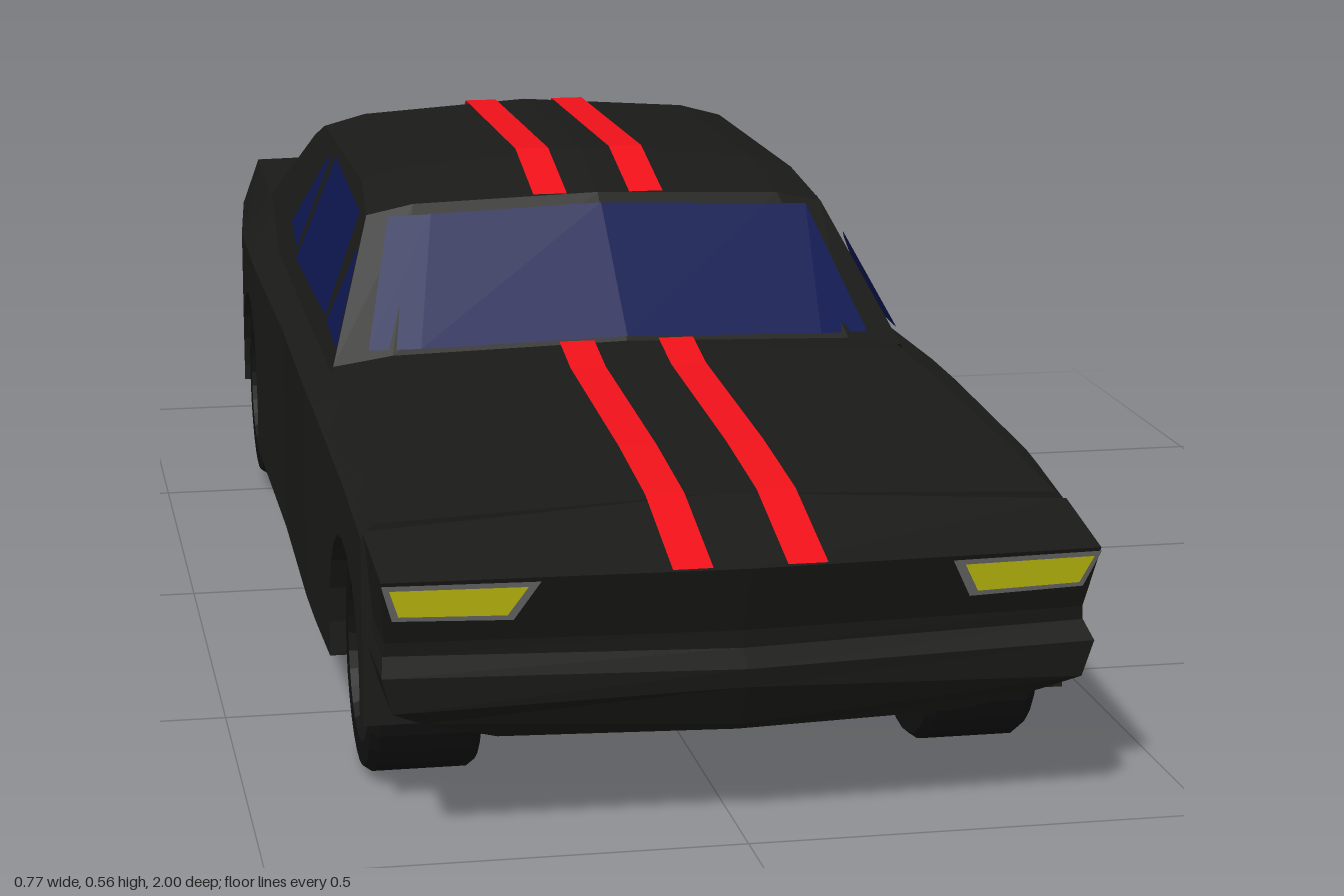
import * as THREE from 'three';

const paint = (color) => new THREE.MeshStandardMaterial({ color, flatShading: true, side: THREE.DoubleSide });
const black = paint(0x1a1a18), rubber = paint(0x121212), glass = paint(0x0d1750);
const red = paint(0xee1119), yellow = paint(0xdedc12), grey = paint(0x777777);
const lerp = THREE.MathUtils.lerp;

// Surface through rows of [x, y, z] points
function skin(rows, closed = false) {
  const out = [];
  for (let i = 0; i < rows.length - 1; i++) {
    const n = rows[i].length;
    for (let j = 0; j < (closed ? n : n - 1); j++) {
      const k = (j + 1) % n;
      const a = rows[i][j], b = rows[i][k], c = rows[i + 1][j], d = rows[i + 1][k];
      out.push(...a, ...c, ...b, ...b, ...c, ...d);
    }
  }
  const g = new THREE.BufferGeometry();
  g.setAttribute('position', new THREE.Float32BufferAttribute(out, 3));
  g.computeVertexNormals();
  return g;
}
const flip = (pts) => pts.map(([x, y, z]) => [-x, y, z]);
const quad = (p) => skin([[p[0], p[3]], [p[1], p[2]]]);

function add(group, name, geometry, material) {
  const m = new THREE.Mesh(geometry, material);
  m.name = name;
  group.add(m);
  return m;
}
// A four-cornered panel on the left side and its mirror image
function addPair(group, name, pts, material) {
  add(group, name + 'Left', quad(pts), material);
  add(group, name + 'Right', quad(flip(pts).reverse()), material);
}

// Body stations: z, half width, floor y, belt y, shoulder x, shoulder y, centre y
const stations = [
  [0.85, 0.382, 0.10, 0.305, 0.368, 0.32, 0.336],
  [0.70, 0.384, 0.09, 0.325, 0.36, 0.336, 0.352],
  [0.40, 0.385, 0.08, 0.338, 0.352, 0.35, 0.37],
  [0.30, 0.385, 0.08, 0.34, 0.35, 0.352, 0.378],
  [0, 0.38, 0.083, 0.34, 0.35, 0.355, 0.385],
  [-0.40, 0.38, 0.085, 0.34, 0.346, 0.362, 0.39],
  [-0.65, 0.376, 0.12, 0.34, 0.334, 0.395, 0.403],
  [-0.90, 0.352, 0.155, 0.34, 0.325, 0.393, 0.40],
  [-0.98, 0.338, 0.195, 0.34, 0.322, 0.39, 0.397],
  [-1, 0.333, 0.235, 0.34, 0.32, 0.388, 0.394],
];
const wheels = [{ name: 'front', z: 0.69, y: 0.125 }, { name: 'rear', z: -0.53, y: 0.143 }];

function stationAt(z) {
  let i = 0;
  while (i < stations.length - 2 && z < stations[i + 1][0]) i++;
  const [a, b] = [stations[i], stations[i + 1]];
  return a.map((v, k) => lerp(v, b[k], (z - a[0]) / (b[0] - a[0])));
}

// Half a body section; the arch height lifts the part outside the wheel well wall
function halfSection([z, w, floor, belt, sx, sy, top], arch = floor) {
  return [[0, floor, z], [0.24, floor, z], [0.24, arch, z], [w, arch, z], [w, belt, z], [sx, sy, z], [0, top, z]];
}

function buildBody(car) {
  const R = 0.135;
  const halves = [];
  for (const s of stations) {
    if (!wheels.some((w) => Math.abs(s[0] - w.z) < R)) halves.push(halfSection(s));
  }
  for (const w of wheels) {
    halves.push(halfSection(stationAt(w.z + R)));
    for (let k = 0; k <= 10; k++) {
      const a = (k / 10) * Math.PI;
      halves.push(halfSection(stationAt(w.z + R * Math.cos(a)), w.y + R * Math.sin(a)));
    }
    halves.push(halfSection(stationAt(w.z - R)));
  }
  halves.sort((a, b) => b[0][2] - a[0][2]);
  add(car, 'body', skin(halves.map((h) => [...h, ...flip(h).reverse().slice(1, -1)]), true), black);
  const first = halves[0], last = halves[halves.length - 1];
  add(car, 'frontBulkhead', skin([flip(first), first]), black);
  add(car, 'tailPanel', skin([last, flip(last)]), black);

  // Nose and bumper, from hood down: front z, half width, centre y, edge y
  const rows = [
    [0.85, 0.38, 0.336, 0.312], [1, 0.377, 0.296, 0.294], [0.965, 0.37, 0.22, 0.22], [0.962, 0.372, 0.2, 0.205],
    [0.99, 0.376, 0.186, 0.19], [0.985, 0.365, 0.165, 0.15], [0.955, 0.33, 0.115, 0.128],
    [0.94, 0.25, 0.105, 0.105], [0.85, 0.25, 0.1, 0.1],
  ].map(([z, w, yc, ye]) => {
    const edge = Math.max(0.85, z - 0.02);
    return [[-w, ye, 0.85], [-w, ye, edge], [0, yc, z], [w, ye, edge], [w, ye, 0.85]];
  });
  add(car, 'noseAndBumper', skin(rows), black);
}

// The cabin sides lean inward on one plane
const sideX = (y) => 0.35 - (y - 0.352) * 0.41;

function buildCabin(car) {
  // z, corner setback, centre y, mid y, edge y
  const rings = [
    [0.33, 0.04, 0.385, 0.372, 0.358], [0.135, 0.012, 0.53, 0.521, 0.508], [0, 0, 0.564, 0.546, 0.53],
    [-0.43, 0, 0.56, 0.545, 0.53], [-0.48, 0, 0.53, 0.522, 0.51], [-0.66, 0, 0.40, 0.398, 0.392],
  ].map(([z, dz, c, m, e]) => {
    const x = sideX(e);
    const h = [[sideX(0.345), 0.345, z - dz], [x, e, z - dz], [x * 0.8, m, z - dz * 0.64], [0, c, z]];
    return [...h, ...flip(h).reverse().slice(1)];
  });
  add(car, 'cabin', skin(rings), black);

  // Front and rear screens
  const row = (x, ye, yc, ze, zc) => [[-x, ye, ze], [-x * 0.8, lerp(yc, ye, 0.8), lerp(zc, ze, 0.64)], [0, yc, zc],
    [x * 0.8, lerp(yc, ye, 0.8), lerp(zc, ze, 0.64)], [x, ye, ze]];
  add(car, 'windshield', skin([row(0.262, 0.509, 0.521, 0.142, 0.157), row(0.305, 0.376, 0.391, 0.29, 0.332)]), glass);
  add(car, 'rearWindow', skin([row(0.29, 0.402, 0.408, -0.657, -0.657), row(0.25, 0.519, 0.531, -0.485, -0.485)]), glass);

  // Side windows, as [z, y] corners
  const windows = {
    ventWindow: [[0.285, 0.378], [0.155, 0.385], [0.165, 0.47], [0.175, 0.478]],
    doorWindow: [[0.135, 0.387], [-0.225, 0.387], [-0.225, 0.522], [0.09, 0.507]],
    quarterWindow: [[-0.25, 0.395], [-0.37, 0.41], [-0.285, 0.512], [-0.265, 0.516]],
  };
  for (const [name, pts] of Object.entries(windows)) {
    addPair(car, name, pts.map(([z, y]) => [sideX(y) + 0.004, y, z]), glass);
  }
}

function buildStripes(car) {
  // Paths of [z, y] along the middle of the car
  const paths = {
    hoodStripe: [[0.997, 0.298], [0.85, 0.338], [0.7, 0.353], [0.4, 0.371], [0.325, 0.386]],
    roofStripe: [[0.138, 0.53], [0, 0.564], [-0.43, 0.56], [-0.482, 0.531]],
    deckStripe: [[-0.66, 0.406], [-0.9, 0.402], [-0.97, 0.4]],
  };
  for (const [name, path] of Object.entries(paths)) {
    for (const s of [-1, 1]) {
      const rows = path.map(([z, y]) => [[s * 0.06 + 0.021, y, z], [s * 0.06 - 0.021, y, z]]);
      add(car, name + (s > 0 ? 'Left' : 'Right'), skin(rows), red);
    }
  }
}

function buildLights(car) {
  const onNose = (d) => ([x, y]) => [x, y, 1 - x * 0.053 + (y - 0.295) * 0.47 + d];
  addPair(car, 'headlightFrame', [[0.24, 0.245], [0.364, 0.248], [0.377, 0.291], [0.215, 0.291]].map(onNose(0.004)), grey);
  addPair(car, 'headlight', [[0.247, 0.252], [0.358, 0.254], [0.369, 0.286], [0.228, 0.286]].map(onNose(0.007)), yellow);
  const onTail = (d) => ([x, y]) => [x, y, -1 - d];
  addPair(car, 'taillightFrame', [[0.33, 0.238], [0.258, 0.238], [0.24, 0.388], [0.32, 0.388]].map(onTail(0.002)), grey);
  addPair(car, 'taillight', [[0.324, 0.244], [0.266, 0.244], [0.249, 0.382], [0.316, 0.382]].map(onTail(0.004)), yellow);
}

function buildWheels(car) {
  const profile = [[0, -0.05], [0.085, -0.05], [0.092, -0.06], [0.118, -0.06], [0.125, -0.05],
    [0.125, 0.05], [0.118, 0.06], [0.092, 0.06], [0.085, 0.05], [0, 0.05]];
  const geometry = new THREE.LatheGeometry(profile.map(([r, y]) => new THREE.Vector2(r, y)), 28);
  geometry.rotateZ(Math.PI / 2);
  for (const w of wheels) {
    for (const s of [-1, 1]) {
      add(car, w.name + 'Wheel' + (s > 0 ? 'Left' : 'Right'), geometry, rubber).position.set(s * 0.308, w.y, w.z);
    }
  }
}

export function createModel() {
  const car = new THREE.Group();
  car.name = 'car';
  buildBody(car);
  buildCabin(car);
  buildStripes(car);
  buildLights(car);
  buildWheels(car);
  return car;
}
